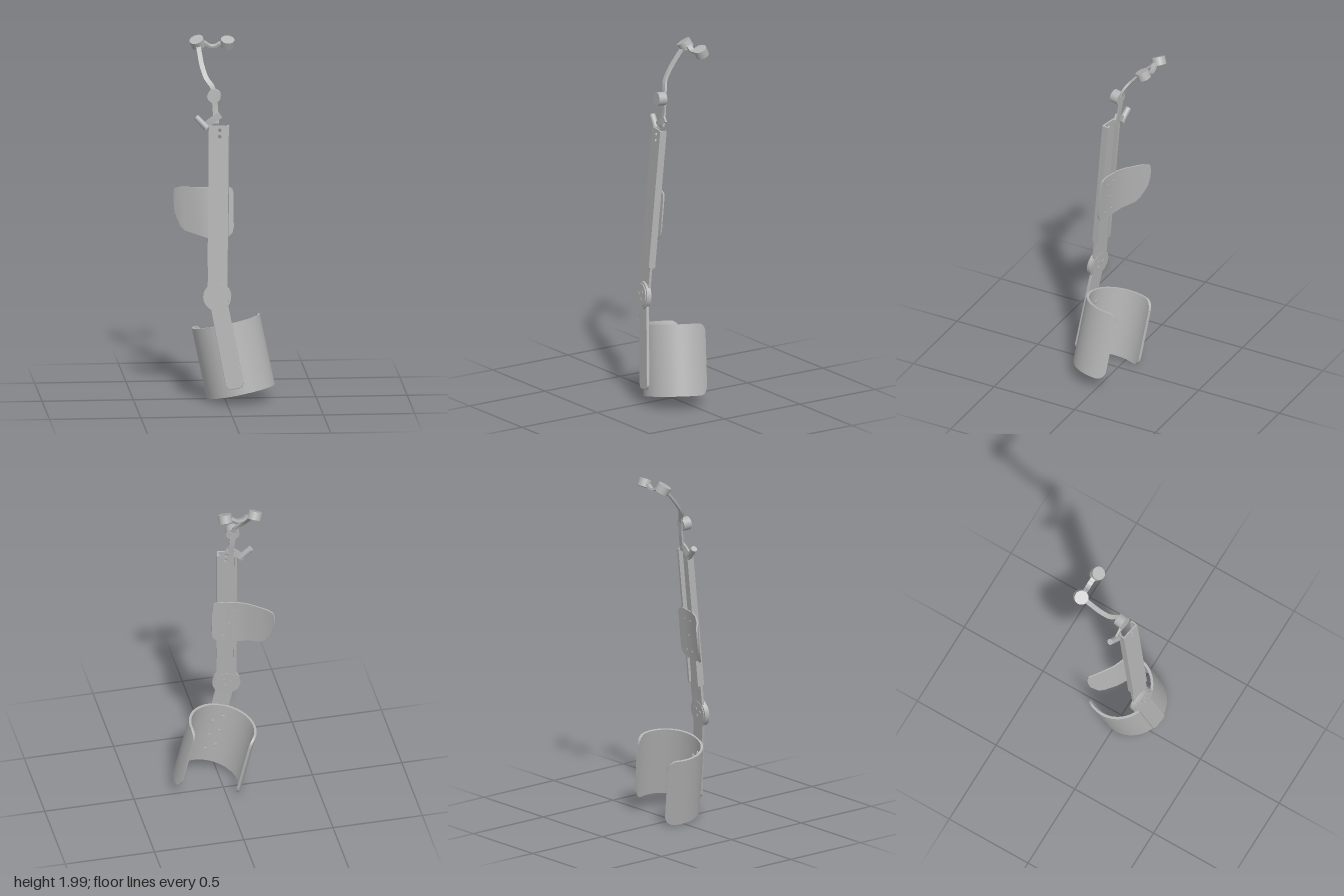
import * as THREE from 'three';
import { toCreasedNormals } from 'three/addons/utils/BufferGeometryUtils.js';

const V = (x, y, z) => new THREE.Vector3(x, y, z);

// Skin over a row of closed cross-sections, capped at both ends
function loft(rings) {
  const n = rings[0].length, pos = [], idx = [];
  rings.forEach(r => r.forEach(p => pos.push(p.x, p.y, p.z)));
  const last = (rings.length - 1) * n;
  for (let i = 0; i < rings.length - 1; i++)
    for (let k = 0; k < n; k++) {
      const a = i * n + k, b = i * n + (k + 1) % n;
      idx.push(a, b, b + n, a, b + n, a + n);
    }
  for (let k = 1; k < n - 1; k++) {
    idx.push(0, k + 1, k);
    idx.push(last, last + k, last + k + 1);
  }
  const g = new THREE.BufferGeometry();
  g.setAttribute('position', new THREE.Float32BufferAttribute(pos, 3));
  g.setIndex(idx);
  return toCreasedNormals(g, 0.6);
}

// Flat band following a curve; across is the direction of its width
function band(points, width, thick, across, steps = 16) {
  const curve = new THREE.CatmullRomCurve3(points), rings = [];
  for (let i = 0; i <= steps; i++) {
    const p = curve.getPoint(i / steps), t = curve.getTangent(i / steps);
    const w = across.clone().addScaledVector(t, -across.dot(t)).normalize();
    const n = t.clone().cross(w);
    rings.push([[-1, -1], [1, -1], [1, 1], [-1, 1]].map(([a, b]) =>
      p.clone().addScaledVector(w, a * width / 2).addScaledVector(n, b * thick / 2)));
  }
  return loft(rings);
}

// Partial cylinder wall with rounded corners
function cuffShell(radius, thick, height, a0, a1, corner) {
  const rings = [], steps = 56;
  for (let i = 0; i <= steps; i++) {
    const a = (a0 + a1) / 2 - (a1 - a0) / 2 * Math.cos(Math.PI * i / steps);
    const s = Math.min(a - a0, a1 - a) * radius;
    const d = Math.max(0, corner - s);
    const h = height / 2 - (corner - Math.sqrt(Math.max(0, corner * corner - d * d)));
    const at = (r, y) => V(r * Math.cos(a), y, r * Math.sin(a));
    const r0 = radius - thick;
    rings.push([at(r0, -h), at(radius, -h), at(radius, h), at(r0, h)]);
  }
  return loft(rings);
}

// Rounded plate in the xy plane, optionally with round holes
function plate(x0, x1, y0, y1, r, depth, holes = [], bevel = 0) {
  const s = new THREE.Shape();
  s.moveTo(x0 + r, y0).lineTo(x1 - r, y0).absarc(x1 - r, y0 + r, r, -Math.PI / 2, 0);
  s.lineTo(x1, y1 - r).absarc(x1 - r, y1 - r, r, 0, Math.PI / 2);
  s.lineTo(x0 + r, y1).absarc(x0 + r, y1 - r, r, Math.PI / 2, Math.PI);
  s.lineTo(x0, y0 + r).absarc(x0 + r, y0 + r, r, Math.PI, Math.PI * 1.5);
  for (const [x, y, hr] of holes) s.holes.push(new THREE.Path().absarc(x, y, hr, 0, Math.PI * 2, true));
  return new THREE.ExtrudeGeometry(s, {
    depth, bevelEnabled: bevel > 0, bevelSize: bevel, bevelThickness: bevel,
    bevelOffset: -bevel, bevelSegments: 2, curveSegments: 8
  });
}

export function createModel() {
  const model = new THREE.Group();
  model.name = 'legBrace';
  const grey = new THREE.MeshStandardMaterial({ color: 0xb4b4b4 });
  grey.name = 'grey';

  const add = (parent, name, geo, x = 0, y = 0, z = 0) => {
    const m = new THREE.Mesh(geo, grey);
    m.name = name;
    m.position.set(x, y, z);
    parent.add(m);
    return m;
  };
  // Cylinder centred at a point with its axis along a direction
  const disc = (parent, name, r, h, center, axis, sides = 32) => {
    const m = add(parent, name, new THREE.CylinderGeometry(r, r, h, sides), ...center.toArray());
    m.quaternion.setFromUnitVectors(V(0, 1, 0), axis.clone().normalize());
    return m;
  };
  const frame = (name, p, rx, ry, rz) => {
    const g = new THREE.Group();
    g.name = name;
    g.position.copy(p);
    g.rotation.set(rx, ry, rz, 'YXZ');
    model.add(g);
    return g;
  };
  const knee = V(-0.052, 0.61, 0.155), front = V(0, 0, 1);

  // Thigh channel: front web with two holes, side flanges and the neck to the hinge
  const thigh = frame('thighBar', knee, -0.09, -0.18, 0);
  add(thigh, 'channelWeb', plate(-0.055, 0.055, 0.165, 0.94, 0.003, 0.009,
    [[0.005, 0.915, 0.01], [0.005, 0.88, 0.01]]));
  for (const s of [-1, 1]) {
    add(thigh, 'channelFlange', new THREE.BoxGeometry(0.008, 0.775, 0.03), s * 0.051, 0.5525, -0.015);
    add(thigh, 'channelLip', new THREE.BoxGeometry(0.012, 0.775, 0.005), s * 0.045, 0.5525, -0.0275);
  }
  add(thigh, 'hingeNeck', plate(-0.054, 0.054, -0.03, 0.2, 0.02, 0.014), 0, 0, -0.014);
  add(thigh, 'innerSlide', plate(-0.042, 0.042, 0.15, 0.42, 0.015, 0.012), 0, 0, -0.014);

  // Knee hinge with a raised face and three small studs
  disc(thigh, 'hingeBody', 0.077, 0.026, V(0, 0, 0.001), front, 40);
  disc(thigh, 'hingeFace', 0.066, 0.036, V(0, 0, 0.002), front, 40);
  for (let i = 0; i < 3; i++) {
    const a = 0.9 + i * Math.PI * 2 / 3;
    disc(thigh, 'hingeStud', 0.012, 0.042, V(0.024 * Math.cos(a), 0.024 * Math.sin(a), 0.002), front, 12);
  }

  // Shin strap
  const shin = frame('shinBar', knee, -0.085, -0.18, 0.2);
  add(shin, 'shinStrap', plate(-0.049, 0.049, -0.515, 0.02, 0.028, 0.01, [], 0.003), 0, 0, -0.008);

  // Calf cuff, open to the back, with rivets inside
  const cuff = frame('calfCuff', V(0.047, 0.247, 0), -0.105, 0, 0.2);
  add(cuff, 'calfShell', cuffShell(0.19, 0.014, 0.395, -0.38, 3.86, 0.055));
  for (const y of [-0.1, 0, 0.1])
    for (const s of [-1, 1]) {
      const a = 1.77 + s * 0.13, out = V(Math.cos(a), 0, Math.sin(a));
      const c = out.clone().multiplyScalar(0.175).setY(y + s * 0.02);
      disc(cuff, 'cuffRivet', 0.013, 0.01, c, out, 16);
      disc(cuff, 'rivetCore', 0.006, 0.016, c, out, 10);
    }

  // Thigh pad: columns of x, z, bottom and top
  const pad = [
    [-0.274, -0.047, 1.1, 1.155], [-0.268, -0.04, 1.045, 1.18], [-0.24, -0.012, 0.975, 1.19],
    [-0.215, 0.006, 0.953, 1.193], [-0.15, 0.052, 0.938, 1.198], [-0.1, 0.074, 0.924, 1.202],
    [-0.02, 0.088, 0.926, 1.206], [0.015, 0.092, 0.935, 1.206], [0.035, 0.094, 0.955, 1.197],
    [0.042, 0.095, 0.985, 1.175]
  ];
  add(model, 'thighPad', loft(pad.map(([x, z, y0, y1], i) => {
    const a = pad[Math.max(0, i - 1)], b = pad[Math.min(pad.length - 1, i + 1)];
    const n = V(-(b[1] - a[1]), 0, b[0] - a[0]).normalize().multiplyScalar(0.004);
    const at = (y, s) => V(x + s * n.x, y, z + s * n.z - 0.09 * (y - 1.06));
    return [at(y0, -1), at(y1, -1), at(y1, 1), at(y0, 1)];
  })));
  for (const [x, y] of [[-0.075, 1.15], [-0.02, 1.15], [-0.05, 1.06], [-0.075, 0.97], [-0.02, 0.97]])
    disc(model, 'padRivet', 0.006, 0.008, V(x, y, 0.079 + (x + 0.05) * 0.18 - 0.09 * (y - 1.06)), front, 10);

  // Hip joint: knob, hanging tab, slanted bracket and side pin
  disc(model, 'hipKnob', 0.037, 0.048, V(-0.06, 1.705, 0.037), V(-0.15, 0.08, 1));
  add(model, 'hipTab', band([V(-0.058, 1.72, 0.012), V(-0.053, 1.64, 0.018), V(-0.047, 1.55, 0.032)],
    0.03, 0.01, V(1, 0, 0.15)));
  add(model, 'hipBracket', band([V(-0.025, 1.598, 0.03), V(-0.075, 1.565, 0.03), V(-0.12, 1.525, 0.026)],
    0.035, 0.012, V(0.6, -0.8, 0)));
  disc(model, 'sidePin', 0.017, 0.085, V(-0.13, 1.557, 0.028), V(-0.06, 0.062, -0.014), 20);

  // Curved arm up to the waist pucks
  add(model, 'hipArm', band([V(-0.06, 1.72, 0.012), V(-0.068, 1.75, 0.003), V(-0.098, 1.79, -0.02),
    V(-0.118, 1.85, -0.07), V(-0.127, 1.91, -0.125), V(-0.132, 1.95, -0.165)],
  0.026, 0.013, V(1, 0, 0.15), 28));
  disc(model, 'waistPuck', 0.039, 0.045, V(-0.134, 1.96, -0.18), V(-0.3, 0.85, 0.4));
  disc(model, 'waistPuck', 0.037, 0.045, V(0.029, 1.957, -0.172), V(0.04, 0.88, 0.42));
  add(model, 'waistLink', band([V(-0.11, 1.966, -0.178), V(-0.09, 1.957, -0.177), V(-0.068, 1.941, -0.18),
    V(-0.035, 1.94, -0.181), V(-0.015, 1.952, -0.178), V(0.01, 1.957, -0.174)],
  0.028, 0.012, V(0, -0.3, 1), 24));

  return model;
}
